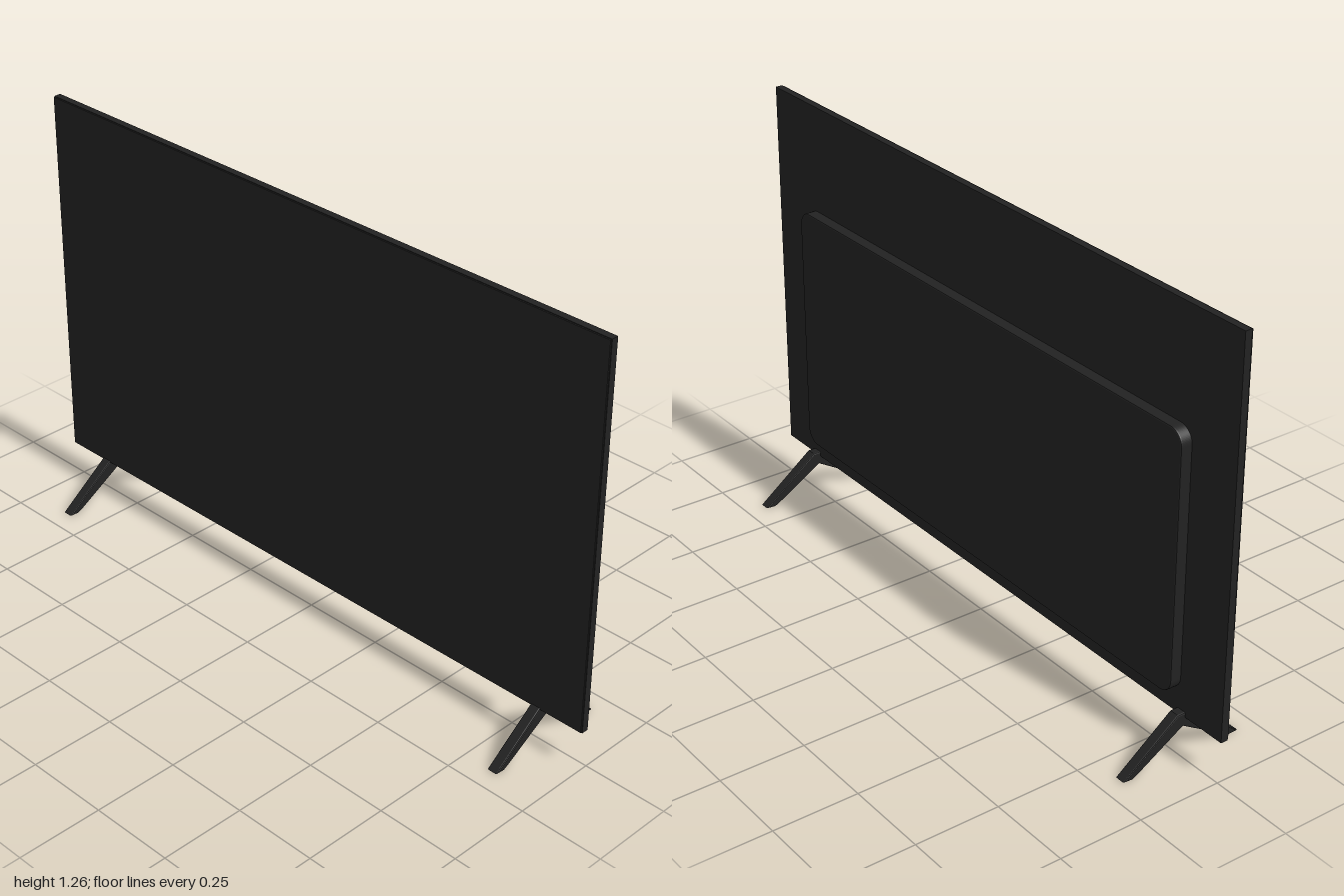
import * as THREE from 'three';

const casing = new THREE.MeshStandardMaterial({ color: 0x222222 });
casing.name = 'black casing';

function addMesh(parent, name, geometry) {
  const mesh = new THREE.Mesh(geometry, casing);
  mesh.name = name;
  parent.add(mesh);
  return mesh;
}

function roundedRect(w, h, r) {
  const s = new THREE.Shape();
  const x = w / 2, y = h / 2;
  s.absarc(x - r, y - r, r, 0, Math.PI / 2);
  s.absarc(-x + r, y - r, r, Math.PI / 2, Math.PI);
  s.absarc(-x + r, -y + r, r, Math.PI, Math.PI * 1.5);
  s.absarc(x - r, -y + r, r, Math.PI * 1.5, Math.PI * 2);
  s.closePath();
  return s;
}

// Splayed V foot, profile drawn in (z, y) and extruded across x
function legGeometry() {
  const width = 0.032, bevel = 0.004;
  const profile = new THREE.Shape([
    [0.186, 0.004], [0.163, 0.004], [0.145, 0.013], [0, 0.1],
    [-0.145, 0.013], [-0.163, 0.004], [-0.186, 0.004],
    [-0.017, 0.131], [0.017, 0.131],
  ].map(([z, y]) => new THREE.Vector2(z, y)));
  const g = new THREE.ExtrudeGeometry(profile, {
    depth: width - 2 * bevel, bevelSize: bevel, bevelThickness: bevel, bevelSegments: 2,
  });
  g.translate(0, 0, -(width / 2 - bevel));
  return g.rotateY(-Math.PI / 2);
}

export function createModel() {
  const tv = new THREE.Group();
  tv.name = 'television';

  // Thin display panel with a front glass layer
  const height = 1.14, midY = 0.69;
  addMesh(tv, 'panelFrame', new THREE.BoxGeometry(2, height, 0.021)).position.set(0, midY, 0.0155);
  addMesh(tv, 'screen', new THREE.BoxGeometry(1.996, height - 0.004, 0.004)).position.set(0, midY, 0.028);

  // Raised electronics housing on the back, with rounded corners
  const edge = 0.004;
  const housing = new THREE.ExtrudeGeometry(roundedRect(1.68 - 2 * edge, 0.755 - 2 * edge, 0.04), {
    depth: 0.03, bevelSize: edge, bevelThickness: edge, bevelSegments: 2, curveSegments: 10,
  });
  addMesh(tv, 'rearHousing', housing).position.set(0, 0.5625, -0.024);

  // Pair of feet
  const leg = legGeometry();
  for (const [name, side] of [['leftLeg', 1], ['rightLeg', -1]]) {
    addMesh(tv, name, leg).position.x = side * 0.848;
  }
  return tv;
}
